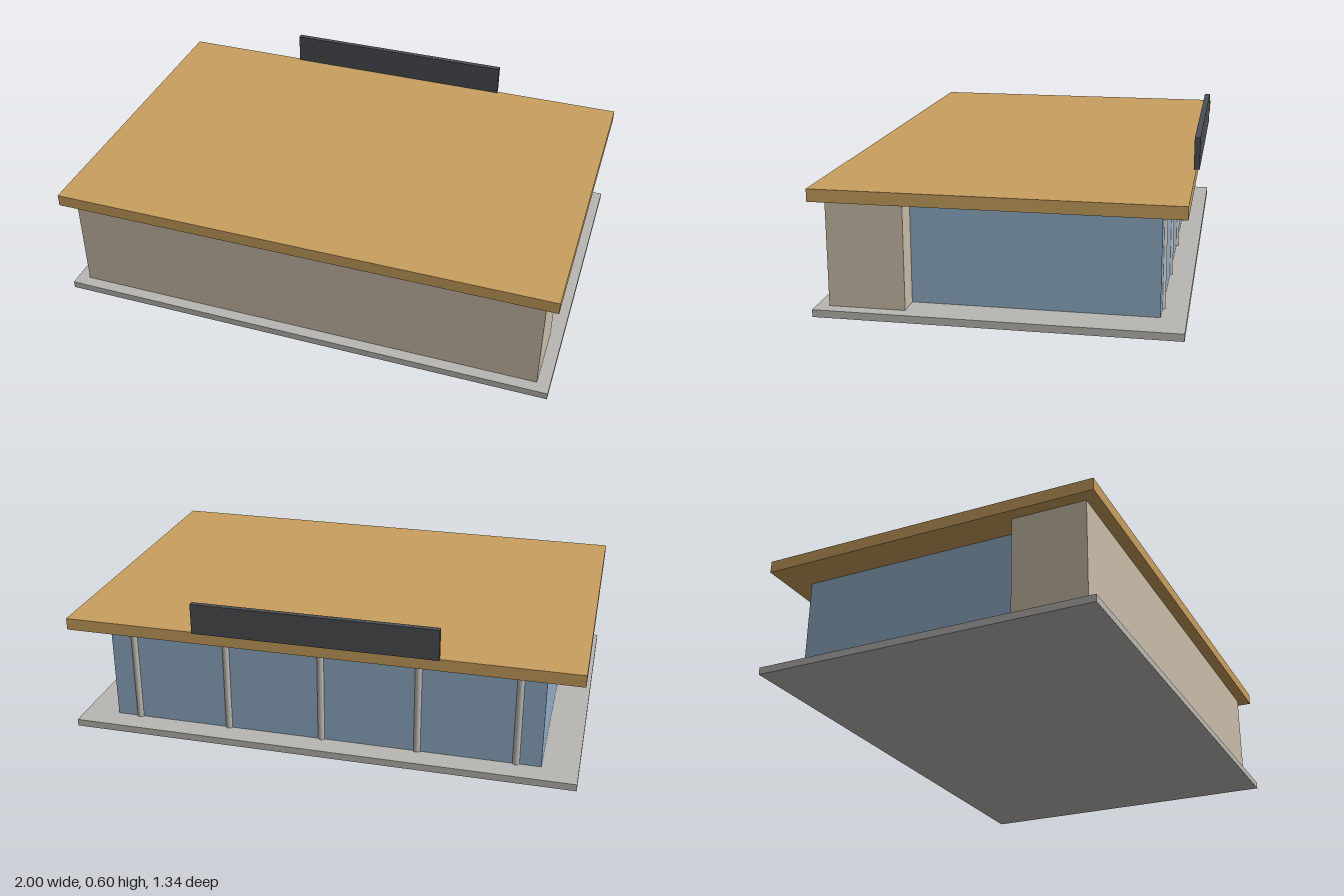
import * as THREE from 'three';

const mat = (name, color) => {
  const m = new THREE.MeshStandardMaterial({ color });
  m.name = name;
  return m;
};

export function createModel() {
  const group = new THREE.Group();
  group.name = 'pavilion';
  const concrete = mat('concrete', 0xb9b7b2);
  const plaster = mat('plaster', 0xc9bca8);
  const glass = mat('glass', 0x8fabc4);
  const timber = mat('timber', 0xc89f5e);
  const charcoal = mat('charcoal', 0x4b4e52);
  const steel = mat('steel', 0xc0bcb6);

  // Box given by its half width and its y and z ranges
  const box = (name, material, halfX, [y0, y1], [z0, z1]) => {
    const mesh = new THREE.Mesh(new THREE.BoxGeometry(halfX * 2, y1 - y0, z1 - z0), material);
    mesh.position.set(0, (y0 + y1) / 2, (z0 + z1) / 2);
    mesh.name = name;
    group.add(mesh);
  };

  const floorY = 0.028, ceilingY = 0.43, roofY = 0.477;
  const plan = [-0.66, 0.672];

  box('floorSlab', concrete, 1, [0, floorY], plan);
  box('solidFrontBlock', plaster, 0.95, [floorY, ceilingY], [0.34, 0.625]);
  box('glassHall', glass, 0.86, [floorY, ceilingY], [-0.567, 0.34]);
  box('roofSlab', timber, 1, [ceilingY, roofY], plan);
  box('signBoard', charcoal, 0.475, [roofY, 0.598], [-0.672, -0.65]);

  // Row of slim columns along the glazed back
  const columnGeometry = new THREE.CylinderGeometry(0.0143, 0.0143, ceilingY - floorY, 16);
  for (let i = -2; i <= 2; i++) {
    const column = new THREE.Mesh(columnGeometry, steel);
    column.position.set(i * 0.382, (floorY + ceilingY) / 2, -0.563);
    column.name = 'column' + (i + 3);
    group.add(column);
  }
  return group;
}
